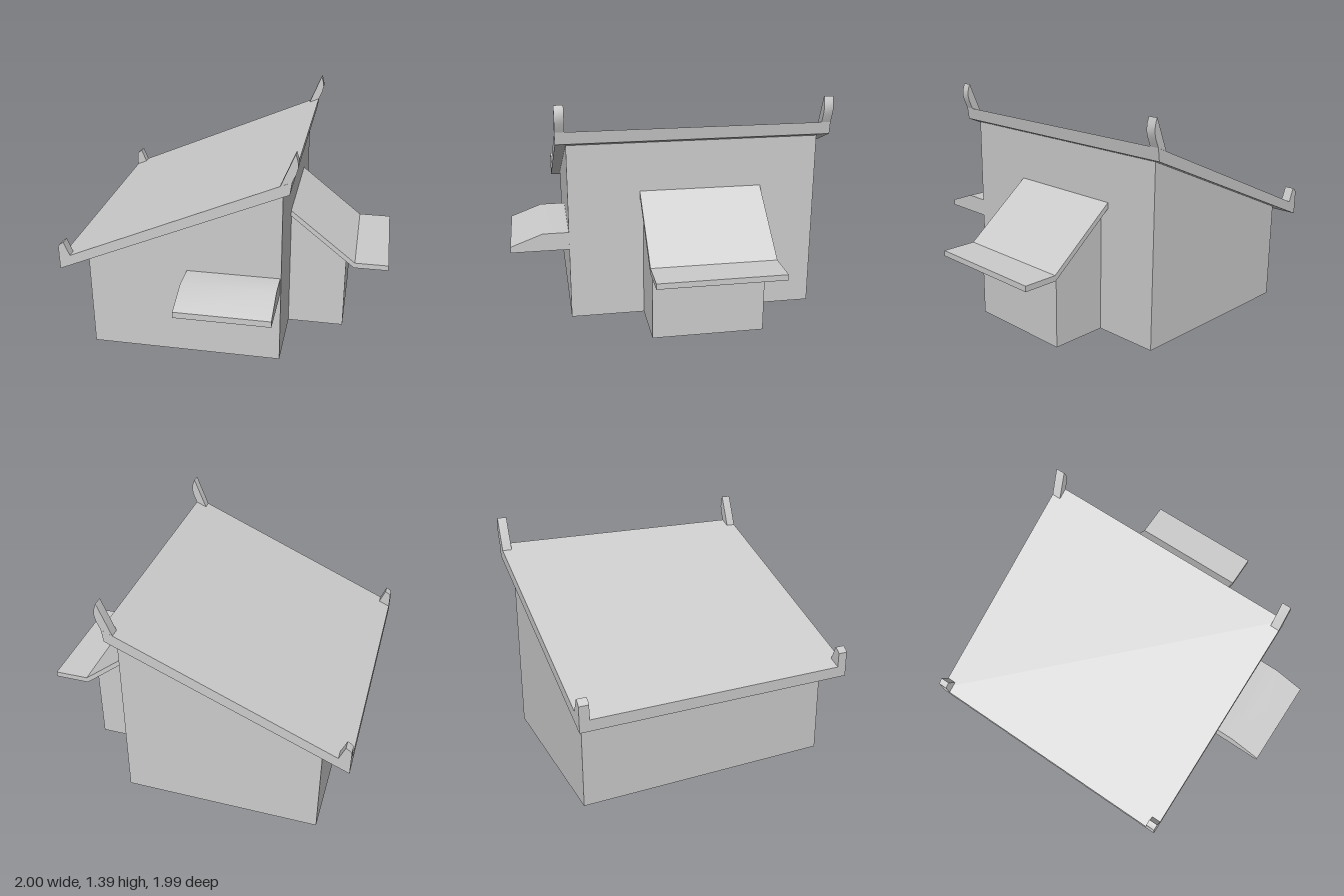
import * as THREE from 'three';
import { toCreasedNormals } from 'three/addons/utils/BufferGeometryUtils.js';

const material = new THREE.MeshStandardMaterial({ color: 0xcccccc });

// Extrude an (x, y) profile along z, from z0 to z1
function slab(name, points, z0, z1) {
  const shape = new THREE.Shape(points.map(([x, y]) => new THREE.Vector2(x, y)));
  const geometry = new THREE.ExtrudeGeometry(shape, { depth: z1 - z0, bevelEnabled: false });
  geometry.translate(0, 0, z0);
  const mesh = new THREE.Mesh(toCreasedNormals(geometry, Math.PI / 6), material);
  mesh.name = name;
  return mesh;
}

export function createModel() {
  const group = new THREE.Group();
  group.name = 'house';

  // Main walls under the sloping roof
  group.add(slab('mainWalls', [[-0.835, 0], [0.365, 0], [0.365, 1.131], [-0.835, 0.62]], -0.93, 0.635));

  // Single-pitch roof
  const back = -0.995, front = 0.7, hornWidth = 0.058;
  group.add(slab('mainRoof', [[-1, 0.548], [0.41, 1.15], [0.421, 1.227], [-1, 0.614]], back, front));

  // Upturned horns at the four roof corners
  const highHorn = [[0.355, 1.199], [0.421, 1.227], [0.444, 1.28], [0.454, 1.32], [0.449, 1.357], [0.437, 1.392], [0.432, 1.385]];
  const lowHorn = [[-1, 0.614], [-0.93, 0.644], [-0.965, 0.73], [-0.99, 0.714], [-1, 0.7]];
  for (const z of [back, front - hornWidth]) {
    group.add(slab('highHorn', highHorn, z, z + hornWidth));
    group.add(slab('lowHorn', lowHorn, z, z + hornWidth));
  }

  // Side porch with its kinked roof
  group.add(slab('porchWalls', [[0.365, 0], [0.728, 0], [0.728, 0.492], [0.365, 0.785]], -0.52, 0.17));
  group.add(slab('porchRoof',
    [[0.365, 0.785], [0.78, 0.45], [1, 0.45], [1, 0.485], [0.785, 0.485], [0.365, 0.822]], -0.575, 0.19));

  // Front awning: profile drawn in (z, y), then turned to run along x
  const awning = slab('frontAwning',
    [[0.635, 0.462], [0.995, 0.462], [0.995, 0.5], [0.795, 0.575], [0.635, 0.575]], -0.36, 0.213);
  awning.geometry.rotateY(-Math.PI / 2);
  group.add(awning);

  return group;
}
